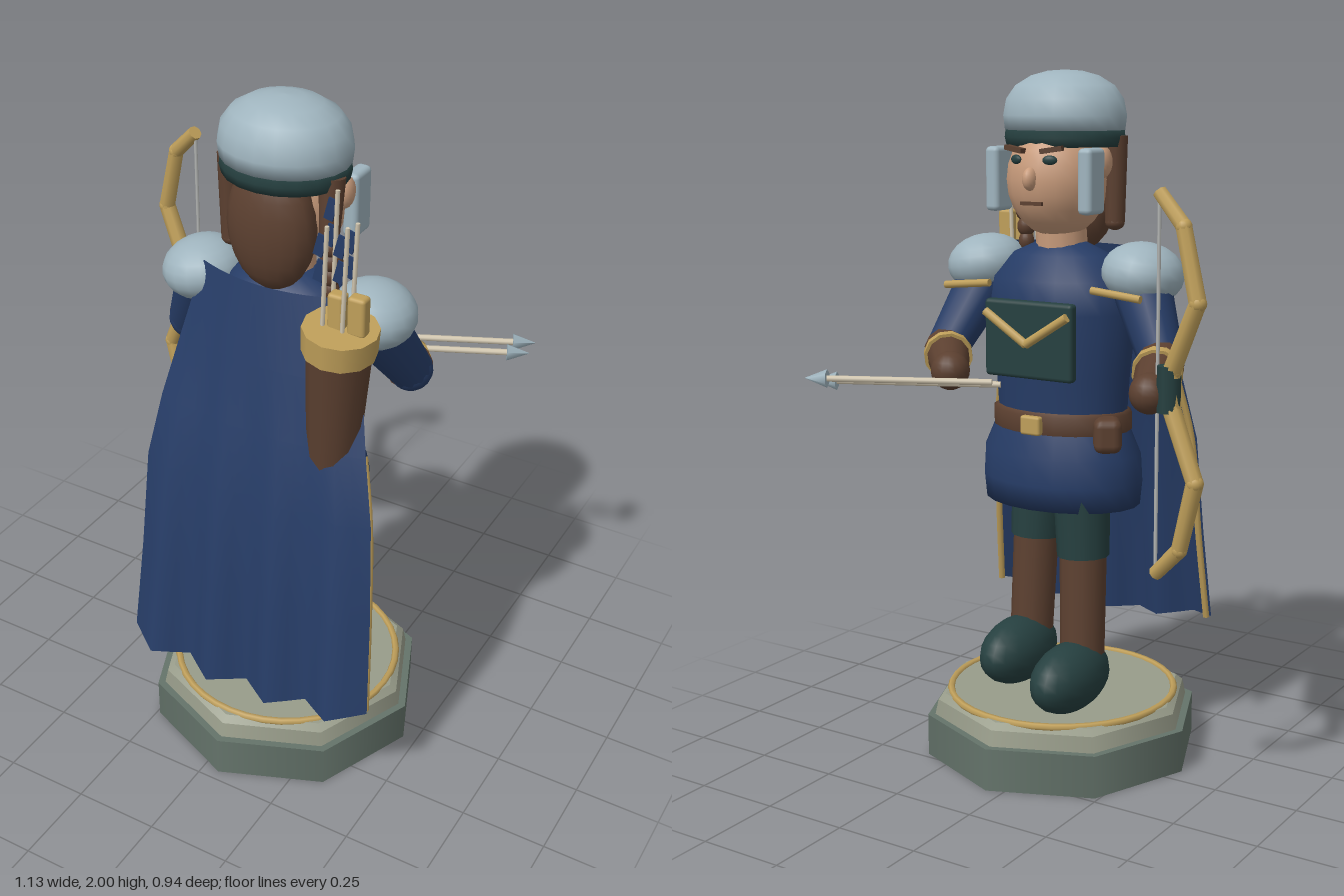
import * as THREE from 'three';
import { RoundedBoxGeometry } from 'three/addons/geometries/RoundedBoxGeometry.js';

const mat = (name, color, extra = {}) => {
  const m = new THREE.MeshStandardMaterial({ color, ...extra });
  m.name = name;
  return m;
};

export function createModel() {
  const blue = mat('blue cloth', 0x263c66, { side: THREE.DoubleSide });
  const brown = mat('brown leather', 0x5c4030);
  const gold = mat('gold', 0xbf9f5a);
  const green = mat('dark green', 0x264040);
  const steel = mat('steel', 0x9fb4be);
  const skin = mat('skin', 0xc99c7c);
  const stone = mat('dark stone', 0x64736a);
  const paleStone = mat('pale stone', 0x989c8a);
  const wood = mat('pale wood', 0xd2c7b0);
  const string = mat('bow string', 0xb4b6b4);

  const model = new THREE.Group();
  const V = (p) => new THREE.Vector3(...p);
  const CX = 0.05, CZ = 0.06; // body axis

  const add = (name, geo, material, pos = [0, 0, 0], rot = [0, 0, 0], scale = [1, 1, 1]) => {
    const m = new THREE.Mesh(geo, material);
    m.name = name;
    m.position.set(...pos);
    m.rotation.set(...rot);
    m.scale.set(...scale);
    model.add(m);
    return m;
  };
  const ball = (name, material, pos, radii, rot) =>
    add(name, new THREE.SphereGeometry(1, 18, 12), material, pos, rot, radii);
  const block = (name, material, pos, size, rot, bevel = 0) =>
    add(name, bevel ? new RoundedBoxGeometry(...size, 2, bevel) : new THREE.BoxGeometry(...size), material, pos, rot);
  // tapered cylinder from a to b
  const limb = (name, material, a, b, ra, rb = ra, sides = 12) => {
    const d = V(b).sub(V(a));
    const m = add(name, new THREE.CylinderGeometry(rb, ra, d.length(), sides), material);
    m.position.copy(V(a)).addScaledVector(d, 0.5);
    m.quaternion.setFromUnitVectors(new THREE.Vector3(0, 1, 0), d.normalize());
    return m;
  };
  const lathe = (name, material, pts, zScale, z = CZ) =>
    add(name, new THREE.LatheGeometry(pts.map((p) => new THREE.Vector2(...p)), 20), material, [CX, 0, z], [0, 0, 0], [1, 1, zScale]);
  const mix = (a, b, t) => a.map((v, i) => v + (b[i] - v) * t);

  // Plinth
  add('plinthBase', new THREE.CylinderGeometry(0.41, 0.41, 0.125, 8), stone, [CX, 0.0625, CZ]);
  add('plinthStep', new THREE.CylinderGeometry(0.378, 0.388, 0.045, 8), paleStone, [CX, 0.1475, CZ]);
  add('plinthTop', new THREE.CylinderGeometry(0.357, 0.378, 0.017, 8), paleStone, [CX, 0.1785, CZ]);
  add('plinthRing', new THREE.TorusGeometry(0.335, 0.011, 6, 40), gold, [CX, 0.185, CZ], [Math.PI / 2, 0, 0]);

  // Legs and boots
  for (const [foot, knee, hip] of [
    [[-0.08, 0.29, -0.105], [-0.068, 0.63, -0.015], [-0.06, 0.82, -0.01]],
    [[0.177, 0.29, 0.015], [0.172, 0.63, 0.105], [0.165, 0.82, 0.115]],
  ]) {
    ball('shoe', green, foot, [0.09, 0.1, 0.165]);
    limb('boot', brown, [foot[0], 0.27, foot[2] + 0.065], knee, 0.064, 0.068);
    limb('trouserLeg', green, knee, hip, 0.076, 0.082);
  }

  // Tunic and belt
  lathe('tunicSkirt', blue, [[0, 0.77], [0.243, 0.77], [0.25, 0.84], [0.245, 0.92], [0.205, 1.01]], 0.73);
  lathe('tunicBody', blue, [[0.2, 1.0], [0.21, 1.15], [0.23, 1.33], [0.215, 1.42], [0.15, 1.49], [0.07, 1.525], [0, 1.525]], 0.7);
  lathe('belt', brown, [[0.2, 0.98], [0.216, 0.99], [0.216, 1.04], [0.2, 1.05]], 0.74);
  block('beltBuckle', gold, [CX, 1.015, -0.105], [0.065, 0.055, 0.025], [0, 0, 0], 0.008);
  block('beltPouch', brown, [-0.15, 0.995, -0.02], [0.08, 0.1, 0.09], [0, 0.6, 0], 0.025);

  // Chest plate with chevron
  block('chestPlate', green, [CX, 1.26, -0.108], [0.29, 0.22, 0.035], [0, 0, 0], 0.012);
  for (const s of [-1, 1])
    limb('chestChevron', gold, [CX, 1.25, -0.133], [CX + s * 0.135, 1.335, -0.133], 0.013, 0.013, 8);

  // Head
  limb('neck', skin, [CX, 1.48, CZ], [CX, 1.62, 0.05], 0.075, 0.07);
  ball('head', skin, [CX, 1.7, 0.04], [0.145, 0.165, 0.15]);
  ball('nose', skin, [CX, 1.705, -0.106], [0.02, 0.032, 0.026]);
  block('mouth', brown, [CX, 1.638, -0.1], [0.07, 0.01, 0.009]);
  for (const s of [-1, 1]) {
    ball('eye', green, [CX + s * 0.055, 1.757, -0.091], [0.021, 0.013, 0.009], [0, -s * 0.35, 0]);
    block('eyebrow', brown, [CX + s * 0.06, 1.785, -0.09], [0.065, 0.014, 0.02], [0, -s * 0.2, s * 0.15]);
    ball('ear', skin, [CX + s * 0.15, 1.75, 0.03], [0.025, 0.045, 0.035]);
    block('cheekGuard', steel, [CX + s * 0.152, 1.7, -0.033], [0.044, 0.18, 0.085], [0, 0, 0], 0.014);
  }

  // Hair
  ball('backHair', brown, [CX, 1.67, 0.145], [0.127, 0.182, 0.08]);
  limb('sideHair', brown, [-0.1, 1.58, 0.1], [-0.1, 1.82, 0.1], 0.028, 0.035);
  ball('sideHairTip', brown, [-0.1, 1.58, 0.1], [0.028, 0.022, 0.028]);
  limb('sideHair', brown, [0.205, 1.66, 0.12], [0.2, 1.82, 0.1], 0.026, 0.035);
  for (let i = 0; i < 4; i++)
    ball('braidKnot', brown, [0.212, 1.64 - i * 0.043, 0.12], [0.035 - i * 0.004, 0.03, 0.035 - i * 0.004]);

  // Helmet
  lathe('helmetBand', green, [[0, 1.79], [0.172, 1.79], [0.178, 1.815], [0.174, 1.845], [0, 1.845]], 0.87, 0.075);
  lathe('helmetDome', steel, [[0, 1.832], [0.177, 1.835], [0.182, 1.875], [0.173, 1.92], [0.146, 1.957], [0.1, 1.984], [0.05, 1.997], [0, 2]], 0.87, 0.075);

  // Shoulders
  for (const s of [-1, 1]) {
    ball('shoulderGuard', steel, [CX + s * 0.262, 1.446, 0.065], [0.116, 0.087, 0.122], [0, 0, -s * 0.15]);
    limb('shoulderTrim', gold, [CX + s * 0.17, 1.405, -0.06], [CX + s * 0.325, 1.39, -0.06], 0.011, 0.011, 8);
  }

  // Arms
  for (const [shoulder, elbow, hand] of [
    [[-0.22, 1.4, 0.05], [-0.315, 1.22, -0.01], [-0.392, 1.17, -0.215]],
    [[0.31, 1.4, 0.05], [0.355, 1.21, -0.085], [0.235, 1.175, -0.235]],
  ]) {
    limb('sleeve', blue, shoulder, elbow, 0.083, 0.062);
    ball('sleeveElbow', blue, elbow, [0.062, 0.062, 0.062]);
    limb('bracer', brown, mix(elbow, hand, 0.08), hand, 0.067, 0.05);
    limb('bracerCuff', gold, mix(elbow, hand, 0.3), mix(elbow, hand, 0.41), 0.071, 0.07);
    ball('glove', brown, hand, [0.055, 0.055, 0.055]);
  }

  // Bow
  const limbPts = [[-0.455, 1.2, -0.22], [-0.46, 1.235, -0.221], [-0.545, 1.42, -0.246], [-0.495, 1.61, -0.232], [-0.413, 1.692, -0.21]];
  for (const s of [-1, 1]) {
    const pts = limbPts.map(([x, y, z]) => [x, 1.187 + s * (y - 1.187), z]);
    for (let i = 0; i < 4; i++) {
      const r = 0.028 - i * 0.002;
      limb('bowLimb', gold, pts[i], pts[i + 1], r, r - 0.002, 8);
      if (i < 3) ball('bowJoint', gold, pts[i + 1], [r - 0.002, r - 0.002, r - 0.002]);
    }
  }
  limb('bowGrip', green, [-0.452, 1.127, -0.22], [-0.452, 1.25, -0.22], 0.033, 0.033, 8);
  limb('bowString', string, [-0.412, 0.69, -0.209], [-0.412, 1.685, -0.209], 0.005, 0.005, 6);

  // Hand-held arrows
  for (const [y, dz] of [[1.158, 0], [1.145, 0.042]]) {
    const tail = [0.085, y, -0.248 + dz], tip = [0.565, y, -0.47 + dz];
    const neck = mix(tail, tip, 0.88);
    limb('arrowShaft', wood, tail, neck, 0.009, 0.009, 8);
    limb('arrowHead', steel, neck, tip, 0.026, 0.001, 6);
  }

  // Quiver and its arrows
  const qBottom = [0.275, 1.02, 0.215], qTop = [0.31, 1.48, 0.245];
  limb('quiver', brown, qBottom, qTop, 0.068, 0.089);
  limb('quiverRim', gold, mix(qBottom, qTop, 0.87), mix(qBottom, qTop, 1.025), 0.099, 0.101);
  block('quiverScroll', gold, [0.298, 1.53, 0.24], [0.046, 0.11, 0.04], [0, 0, 0], 0.01);
  block('quiverScroll', gold, [0.357, 1.535, 0.24], [0.05, 0.11, 0.04], [0, 0, 0], 0.01);
  for (const [x, z, top] of [[0.265, 0.21, 1.845], [0.265, 0.262, 1.77], [0.322, 0.21, 1.77], [0.322, 0.262, 1.78]]) {
    limb('quiverArrow', wood, [x, 1.45, z], [x + 0.01, top, z], 0.006, 0.006, 6);
    for (const drop of [0.055, 0.125])
      block('arrowFeather', blue, [x - 0.008, top - drop, z], [0.026, 0.06, 0.005], [0, 0, -0.25]);
  }

  // Cape: rows of y, centre x, half width, z, fold depth, forward wrap
  const rows = [
    [1.51, 0.05, 0.215, 0.19, 0, 0.05],
    [1.3, 0.065, 0.28, 0.245, 0, 0.06],
    [1.12, 0.075, 0.32, 0.288, 0.004, 0.035],
    [0.94, 0.085, 0.355, 0.335, 0.01, 0.03],
    [0.65, 0.094, 0.372, 0.38, 0.023, 0.025],
    [0.33, 0.102, 0.388, 0.42, 0.033, 0.008],
  ];
  const cols = 16, pos = [], idx = [];
  const edges = [[], []];
  rows.forEach(([y, c, w, z, fold, wrap], r) => {
    for (let i = 0; i <= cols; i++) {
      const u = (i / cols) * 2 - 1;
      const wave = [-1, 0, 1, 0][i % 4]; // four folds
      const p = [c + u * w, y + (r === 5 ? 0.04 * u * u : 0), z + wave * fold - wrap * u * u];
      pos.push(...p);
      if (i === 0) edges[0].push(p);
      if (i === cols) edges[1].push(p);
      if (r && i) {
        const k = r * (cols + 1) + i, up = k - cols - 1;
        idx.push(up - 1, k - 1, k, up - 1, k, up);
      }
    }
  });
  const cape = new THREE.BufferGeometry();
  cape.setAttribute('position', new THREE.Float32BufferAttribute(pos, 3));
  cape.setIndex(idx);
  cape.computeVertexNormals();
  add('cape', cape, blue);
  edges.forEach((e, side) => {
    const path = new THREE.CatmullRomCurve3(e.slice(2).map(V));
    add('capeTrim', new THREE.TubeGeometry(path, 16, 0.011, 6), gold, [side ? -0.011 : 0.011, 0, -0.012]);
  });

  return model;
}
